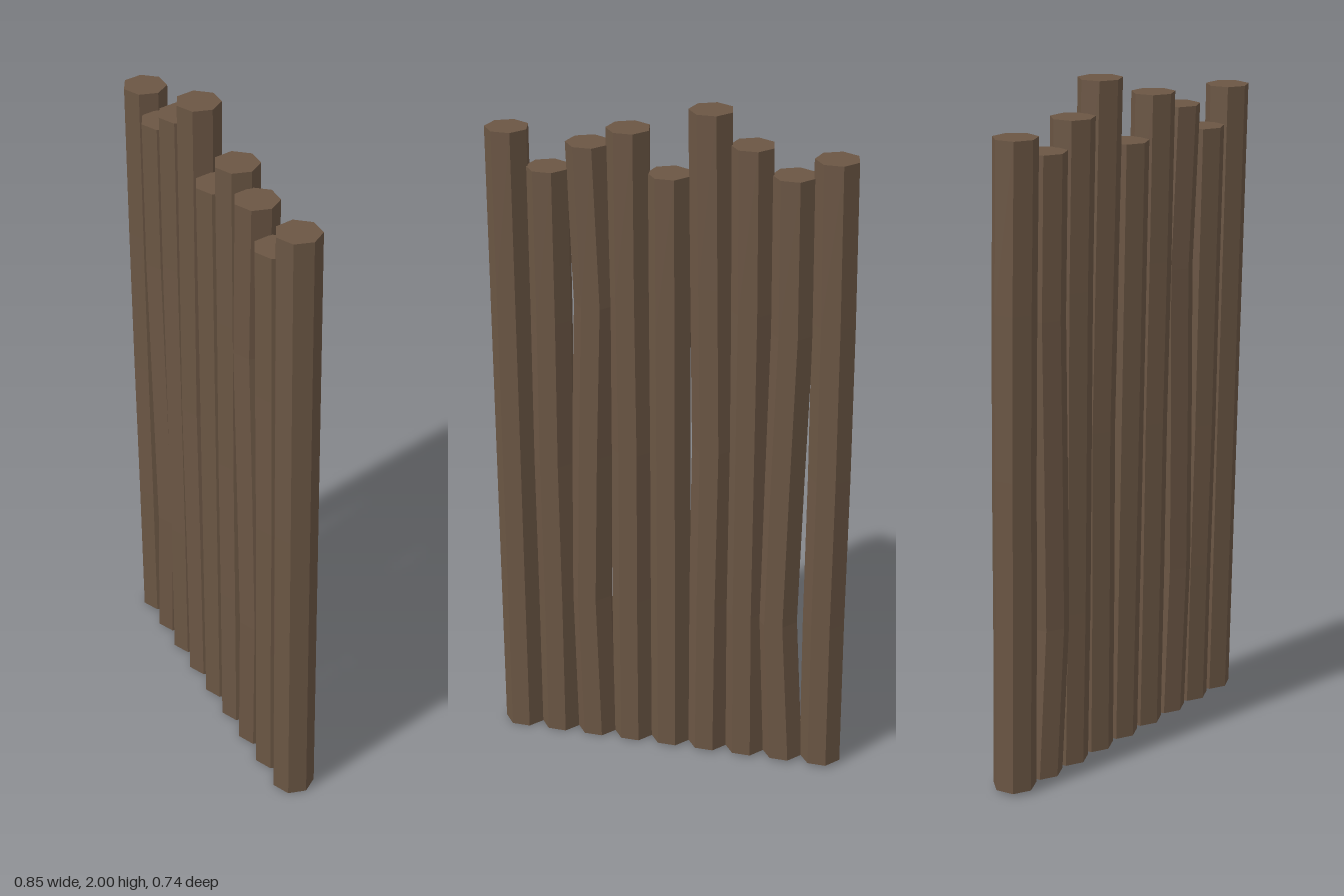
import * as THREE from 'three';

// Height of each post, and sideways bends at 1/4, 1/2 and 3/4 of its length
const POSTS = [
  { top: 1.89, bend: [0, -0.004, -0.004] },
  { top: 1.835, bend: [0.024, 0.012, -0.002] },
  { top: 1.91, bend: [0.003, 0, -0.003] },
  { top: 2.0, bend: [-0.004, -0.012, -0.006] },
  { top: 1.81, bend: [0, 0, 0] },
  { top: 1.93, bend: [0, -0.003, 0] },
  { top: 1.88, bend: [0.012, 0, -0.016] },
  { top: 1.8, bend: [0, 0.003, 0] },
  { top: 1.905, bend: [0, 0, 0] },
];
const RADIUS = 0.063;
const LEAN = { x: -0.009, z: 0.03 }; // drift of the top from the base

// Seven-sided log that leans and bends a little along its length
function makePost(bottom, top, bend, material) {
  const height = top - bottom;
  const geometry = new THREE.CylinderGeometry(RADIUS, RADIUS, height, 7, 4, false, 0.2);
  const shifts = [0, ...bend, 0];
  const pos = geometry.attributes.position;
  for (let i = 0; i < pos.count; i++) {
    const t = pos.getY(i) / height + 0.5;
    const shift = shifts[Math.round(t * 4)];
    pos.setXYZ(
      i,
      pos.getX(i) + LEAN.x * t + shift * 0.78,
      pos.getY(i) + height / 2 + bottom,
      pos.getZ(i) + LEAN.z * t + shift * 0.63
    );
  }
  geometry.computeVertexNormals();
  return new THREE.Mesh(geometry, material);
}

export function createModel() {
  const group = new THREE.Group();
  group.name = 'logPalisade';
  const wood = new THREE.MeshStandardMaterial({ color: 0x6b5644, flatShading: true });

  // Evenly spaced posts along a diagonal row
  POSTS.forEach(({ top, bend }, i) => {
    const step = i - 4;
    const post = makePost(0.006 - step * 0.0012, top, bend, wood);
    post.name = `post${i + 1}`;
    post.position.set(step * 0.09 + 0.003, 0, step * 0.0733 - 0.014);
    group.add(post);
  });
  return group;
}
